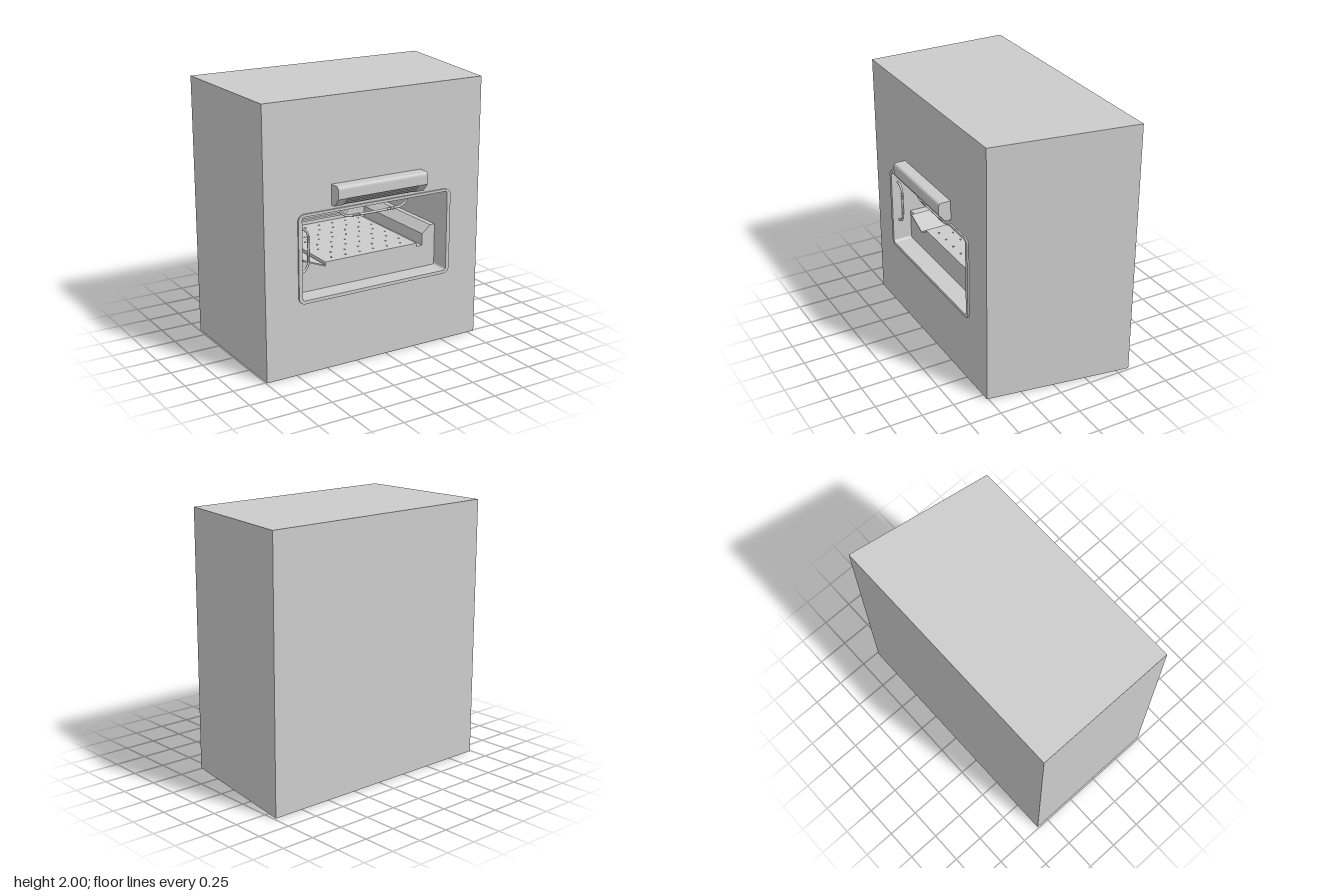
import * as THREE from 'three';

const FRONT = 0.51, BACK = -0.6, NICHE_BACK = -0.45, APRON = 0.37;
const V = (x, y, z) => new THREE.Vector3(x, y, z);
const grey = new THREE.MeshStandardMaterial({ color: 0xcccccc });
const thin = new THREE.MeshStandardMaterial({ color: 0xcccccc, side: THREE.DoubleSide });

function add(parent, name, geometry, material = grey) {
  const mesh = new THREE.Mesh(geometry, material);
  mesh.name = name;
  parent.add(mesh);
  return mesh;
}

// Rounded rectangle outline between two corners
function roundRect(x0, y0, x1, y1, r, Type = THREE.Shape) {
  const s = new Type();
  s.moveTo(x0 + r, y0);
  s.lineTo(x1 - r, y0);
  s.absarc(x1 - r, y0 + r, r, -Math.PI / 2, 0);
  s.lineTo(x1, y1 - r);
  s.absarc(x1 - r, y1 - r, r, 0, Math.PI / 2);
  s.lineTo(x0 + r, y1);
  s.absarc(x0 + r, y1 - r, r, Math.PI / 2, Math.PI);
  s.lineTo(x0, y0 + r);
  s.absarc(x0 + r, y0 + r, r, Math.PI, Math.PI * 1.5);
  return s;
}

function polygon(points) {
  return new THREE.Shape(points.map(([x, y]) => new THREE.Vector2(x, y)));
}

function extrude(shape, depth, z, bevel = 0) {
  return new THREE.ExtrudeGeometry(shape, {
    depth: depth - bevel, curveSegments: 8, bevelEnabled: bevel > 0,
    bevelSize: bevel, bevelThickness: bevel, bevelOffset: -bevel, bevelSegments: 2,
  }).translate(0, 0, z);
}

// Four-cornered faces, corners counter-clockwise as seen from their front
function quads(list) {
  const pos = [];
  for (const [a, b, c, d] of list) for (const p of [a, b, c, a, c, d]) pos.push(p.x, p.y, p.z);
  const g = new THREE.BufferGeometry();
  g.setAttribute('position', new THREE.Float32BufferAttribute(pos, 3));
  g.computeVertexNormals();
  return g;
}

// Strip swept along z from an outline
function sweepZ(points, z0, z1) {
  return quads(points.slice(1).map((q, i) => {
    const p = points[i];
    return [V(p.x, p.y, z0), V(q.x, q.y, z0), V(q.x, q.y, z1), V(p.x, p.y, z1)];
  }));
}

// Bent grab rail with collars around its grip
function grabRail(name, points, collars, alongX) {
  const rail = new THREE.Group();
  rail.name = name;
  const path = new THREE.CatmullRomCurve3(points, false, 'centripetal');
  add(rail, 'rail', new THREE.TubeGeometry(path, 48, 0.009, 8), thin);
  for (const p of collars) {
    const ring = add(rail, 'collar', new THREE.TorusGeometry(0.008, 0.005, 6, 12));
    ring.position.copy(p);
    if (alongX) ring.rotation.y = Math.PI / 2;
    else ring.rotation.x = Math.PI / 2;
  }
  return rail;
}

export function createModel() {
  const model = new THREE.Group();
  model.name = 'cabinet';
  const opening = [-0.70, 0.56, 0.52, 1.175, 0.02];

  // Outer casing, with one slanted side
  const corners = [[-0.99, FRONT], [0.81, FRONT], [0.985, BACK], [-0.99, BACK]];
  const low = corners.map(([x, z]) => V(x, 0, z));
  const high = corners.map(([x, z]) => V(x, 2, z));
  const sides = [1, 2, 3].map((i) => {
    const j = (i + 1) % 4;
    return [low[i], low[j], high[j], high[i]];
  });
  add(model, 'casing', quads([...sides, high, [...low].reverse()]));
  const front = polygon([[-0.99, 0], [0.81, 0], [0.81, 2], [-0.99, 2]]);
  front.holes.push(roundRect(...opening, THREE.Path));
  add(model, 'frontWall', new THREE.ShapeGeometry(front, 8).translate(0, 0, FRONT));

  // Rounded trim around the opening
  const trim = roundRect(-0.73, 0.535, 0.55, 1.195, 0.05);
  trim.holes.push(roundRect(...opening, THREE.Path));
  add(model, 'openingTrim', extrude(trim, 0.012, FRONT, 0));

  // Niche walls and back
  const outline = roundRect(...opening);
  const loop = outline.getPoints(6);
  loop.push(loop[0].clone());
  add(model, 'nicheWalls', sweepZ(loop, FRONT, NICHE_BACK), thin);
  add(model, 'nicheBack', new THREE.ShapeGeometry(outline, 6).translate(0, 0, NICHE_BACK));

  // Raised floor with a sloping flap on one end and a stepped block on the other
  const floor = polygon([[-0.70, 0.56], [0.52, 0.56], [0.52, 0.88], [0.48, 0.88], [0.41, 0.82],
    [0.41, 0.73], [-0.44, 0.73], [-0.62, 0.80], [-0.70, 0.80]]);
  add(model, 'nicheFloor', extrude(floor, APRON - NICHE_BACK, NICHE_BACK));

  // Perforated tray
  const trayDepth = APRON - NICHE_BACK;
  const tray = polygon([[-0.43, 0], [0.36, 0], [0.36, trayDepth], [-0.43, trayDepth]]);
  for (let row = 0; row < 8; row++) {
    for (let col = 0; col < 6; col++) {
      const hole = new THREE.Path();
      hole.absarc(-0.34 + col * 0.12 + (row % 2) * 0.05, 0.07 + row * 0.097, 0.008, 0, Math.PI * 2, true);
      tray.holes.push(hole);
    }
  }
  const trayGeometry = new THREE.ExtrudeGeometry(tray, { depth: 0.025, bevelEnabled: false, curveSegments: 4 });
  add(model, 'perforatedTray', trayGeometry.rotateX(-Math.PI / 2).translate(0, 0.73, APRON));

  // Flap cover plate
  const flap = polygon([[-0.445, 0.732], [-0.445, 0.742], [-0.62, 0.81], [-0.62, 0.80]]);
  add(model, 'flapPlate', extrude(flap, trayDepth + 0.03, NICHE_BACK));

  // Window on the back of the niche
  const windowFrame = roundRect(-0.43, 0.79, 0.25, 1.17, 0.06);
  windowFrame.holes.push(roundRect(-0.40, 0.805, 0.22, 1.155, 0.05, THREE.Path));
  add(model, 'windowFrame', extrude(windowFrame, 0.03, NICHE_BACK));

  // Gussets in the upper corners
  for (const [x, dir] of [[-0.70, 1], [0.52, -1]]) {
    const gusset = polygon([[x, 1.175], [x, 1.12], [x + dir * 0.05, 1.175]]);
    add(model, 'cornerGusset', extrude(gusset, 0.04, NICHE_BACK));
  }

  // Grab rails under the top edge and on the side wall
  const zr = 0.47;
  model.add(grabRail('topGrabRail',
    [V(-0.37, 1.175, zr), V(-0.36, 1.14, zr), V(-0.31, 1.11, zr), V(-0.24, 1.105, zr),
      V(0.06, 1.105, zr), V(0.14, 1.11, zr), V(0.19, 1.14, zr), V(0.20, 1.175, zr)],
    [-0.26, -0.235, -0.21, 0.03, 0.055, 0.08].map((x) => V(x, 1.105, zr)), true));
  model.add(grabRail('sideGrabRail',
    [V(-0.70, 1.08, zr), V(-0.66, 1.07, zr), V(-0.63, 1.03, zr), V(-0.625, 0.98, zr),
      V(-0.625, 0.85, zr), V(-0.63, 0.80, zr), V(-0.66, 0.76, zr), V(-0.70, 0.75, zr)],
    [1.01, 0.99, 0.97, 0.87, 0.85, 0.83].map((y) => V(-0.625, y, zr)), false));

  // Lamp hood above the opening, its middle stretch recessed along the lower chamfer
  const hood = new THREE.Group();
  hood.name = 'lampHood';
  model.add(hood);
  const hoodPart = (name, x0, x1, inset) => {
    const s = new THREE.Shape();
    s.moveTo(FRONT, 1.225);
    s.lineTo(0.555 - inset, 1.225);
    if (inset) s.lineTo(0.605 - inset, 1.285);
    s.lineTo(0.605, 1.285);
    s.lineTo(0.605, 1.345);
    s.quadraticCurveTo(0.605, 1.375, 0.58, 1.375);
    s.lineTo(FRONT, 1.375);
    const g = new THREE.ExtrudeGeometry(s, { depth: x1 - x0, bevelEnabled: false, curveSegments: 6 });
    add(hood, name, g.rotateY(-Math.PI / 2).scale(1, 1, 1).translate(x1, 0, 0));
  };
  hoodPart('hoodEnd', -0.46, -0.385, 0);
  hoodPart('hoodMiddle', -0.385, 0.21, 0.012);
  hoodPart('hoodEnd', 0.21, 0.285, 0);
  for (const t of [0.25, 0.5, 0.75]) {
    const slat = add(hood, 'lampSlat', new THREE.BoxGeometry(0.595, 0.006, 0.012));
    slat.position.set(-0.0875, 1.225 + 0.06 * t, 0.547 + 0.05 * t);
  }
  return model;
}
